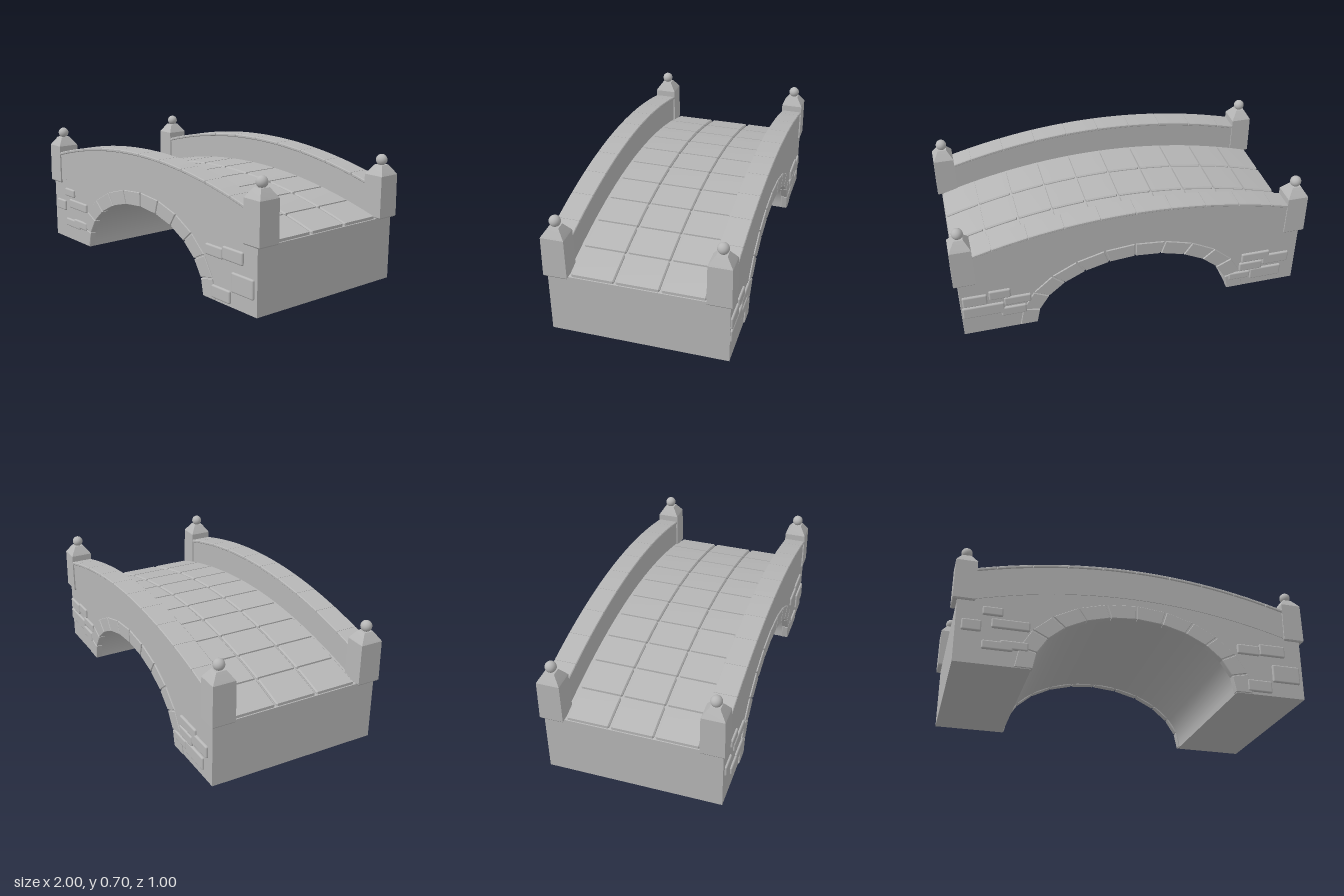
import * as THREE from 'three';
import { toCreasedNormals } from 'three/addons/utils/BufferGeometryUtils.js';
import { RoundedBoxGeometry } from 'three/addons/geometries/RoundedBoxGeometry.js';

const stone = new THREE.MeshStandardMaterial({ color: 0xb6b6b6 });
stone.name = 'grey stone';

const END = 0.975, PITCH = 0.195;
const deckY = x => 0.52 - 0.15 * (x / END) ** 2;
const railY = x => 0.672 - 0.155 * x * x;

function add(parent, name, geometry) {
  const mesh = new THREE.Mesh(geometry, stone);
  mesh.name = name;
  parent.add(mesh);
  return mesh;
}

// Extrudes an outline from z0 to z1 with chamfered edges kept inside the outline
function slab(points, z0, z1, bevel = 0) {
  const geometry = new THREE.ExtrudeGeometry(new THREE.Shape(points), {
    depth: z1 - z0 - 2 * bevel, bevelEnabled: bevel > 0, bevelSize: bevel,
    bevelThickness: bevel, bevelOffset: -bevel, bevelSegments: 1,
  });
  geometry.translate(0, 0, z0 + bevel);
  return toCreasedNormals(geometry, 0.4);
}

// Outline between two curves y = bottom(x) and y = top(x)
function strip(x0, x1, bottom, top, steps) {
  const low = [], high = [];
  for (let i = 0; i <= steps; i++) {
    const x = x0 + (x1 - x0) * i / steps;
    low.push(new THREE.Vector2(x, bottom(x)));
    high.unshift(new THREE.Vector2(x, top(x)));
  }
  return low.concat(high);
}

const onArch = (a, rx, ry) => new THREE.Vector2(rx * Math.cos(a), ry * Math.sin(a));

function buildBody(group) {
  const outline = [new THREE.Vector2(-END, 0)];
  for (let i = 0; i <= 32; i++) outline.push(onArch(Math.PI * (1 - i / 32), 0.57, 0.372));
  outline.push(new THREE.Vector2(END, 0));
  for (let i = 0; i <= 24; i++) {
    const x = END - 2 * END * i / 24;
    outline.push(new THREE.Vector2(x, deckY(x) - 0.015));
  }
  add(group, 'bridgeBody', slab(outline, -0.487, 0.487));
}

function buildPaving(group) {
  const paving = new THREE.Group();
  paving.name = 'paving';
  for (let i = -5; i < 5; i++) {
    for (let row = -1; row <= 1; row++) {
      const x = i * PITCH, z = row * 0.2435;
      const outline = strip(x + 0.005, x + PITCH - 0.005, t => deckY(t) - 0.03, deckY, 2);
      add(paving, 'paver', slab(outline, z - 0.117, z + 0.117, 0.007));
    }
  }
  group.add(paving);
}

// One side wall with its row of coping stones
function buildParapet(group, side) {
  const parapet = new THREE.Group();
  parapet.name = side > 0 ? 'frontParapet' : 'backParapet';
  const span = (a, b) => side > 0 ? [a, b] : [-b, -a];
  add(parapet, 'parapetWall', slab(
    strip(-0.92, 0.92, x => deckY(x) - 0.03, x => railY(x) - 0.012, 24), ...span(0.379, 0.491)));
  for (let i = -5; i < 5; i++) {
    const x0 = Math.max(i * PITCH, -0.92) + 0.001;
    const x1 = Math.min((i + 1) * PITCH, 0.92) - 0.001;
    add(parapet, 'copingStone', slab(
      strip(x0, x1, x => railY(x) - 0.018, railY, 3), ...span(0.373, 0.498), 0.004));
  }
  group.add(parapet);
}

// Ring of arch stones on one face
function buildArchRing(group, side) {
  const ring = new THREE.Group();
  ring.name = side > 0 ? 'frontArchRing' : 'backArchRing';
  const count = 12, step = Math.PI / count, gap = 0.008;
  for (let i = 0; i < count; i++) {
    const a = i * step + gap, b = (i + 1) * step - gap;
    const outline = [onArch(a, 0.564, 0.367), onArch(a, 0.66, 0.449),
      onArch(b, 0.66, 0.449), onArch(b, 0.564, 0.367)];
    const z = side > 0 ? 0.455 : -0.494;
    add(ring, 'archStone', slab(outline, z, z + 0.039, 0.003));
  }
  group.add(ring);
}

// Raised wall stones: [x0, x1, y0, y1]
const frontStones = [
  [-0.84, -0.73, 0.28, 0.33], [-0.945, -0.84, 0.18, 0.245], [-0.79, -0.585, 0.21, 0.265],
  [-0.835, -0.67, 0.085, 0.135], [-0.74, -0.59, 0.095, 0.145],
  [0.585, 0.72, 0.235, 0.295], [0.72, 0.875, 0.24, 0.31],
  [0.79, 0.955, 0.085, 0.19], [0.635, 0.78, 0.015, 0.085],
];
const backStones = [
  [0.83, 0.965, 0.2, 0.27], [0.7, 0.82, 0.225, 0.285], [0.74, 0.97, 0.12, 0.195],
  [0.59, 0.74, 0.17, 0.225], [0.62, 0.76, 0.095, 0.155],
  [-0.81, -0.64, 0.18, 0.24], [-0.93, -0.77, 0.14, 0.21], [-0.77, -0.63, 0.115, 0.175],
  [-0.7, -0.57, 0.06, 0.11], [-0.89, -0.7, 0.045, 0.12],
];

function buildWallStones(group, list, side) {
  for (const [x0, x1, y0, y1] of list) {
    add(group, 'wallStone', new RoundedBoxGeometry(x1 - x0, y1 - y0, 0.04, 2, 0.009))
      .position.set((x0 + x1) / 2, (y0 + y1) / 2, side * 0.479);
  }
}

// Square post with chamfered edges, sloped cap and ball
function buildPost(group, sx, sz) {
  const post = new THREE.Group();
  post.name = 'cornerPost';
  const rings = [[0, 0.355], [0.055, 0.355], [0.06, 0.362], [0.058, 0.588],
    [0.053, 0.597], [0.025, 0.64], [0, 0.64]];
  const profile = rings.map(([w, y]) => new THREE.Vector2(w * Math.SQRT2, y));
  const shaft = new THREE.LatheGeometry(profile, 4, Math.PI / 4);
  shaft.scale(1, 1, 1.09);
  add(post, 'postShaft', toCreasedNormals(shaft, 0.1));
  add(post, 'postBall', new THREE.SphereGeometry(0.031, 20, 14)).position.y = 0.666;
  post.position.set(sx * 0.94, 0, sz * 0.4345);
  group.add(post);
}

export function createModel() {
  const bridge = new THREE.Group();
  bridge.name = 'stoneBridge';
  buildBody(bridge);
  buildPaving(bridge);
  for (const side of [1, -1]) {
    buildParapet(bridge, side);
    buildArchRing(bridge, side);
    buildWallStones(bridge, side > 0 ? frontStones : backStones, side);
    for (const end of [1, -1]) buildPost(bridge, end, side);
  }
  return bridge;
}
